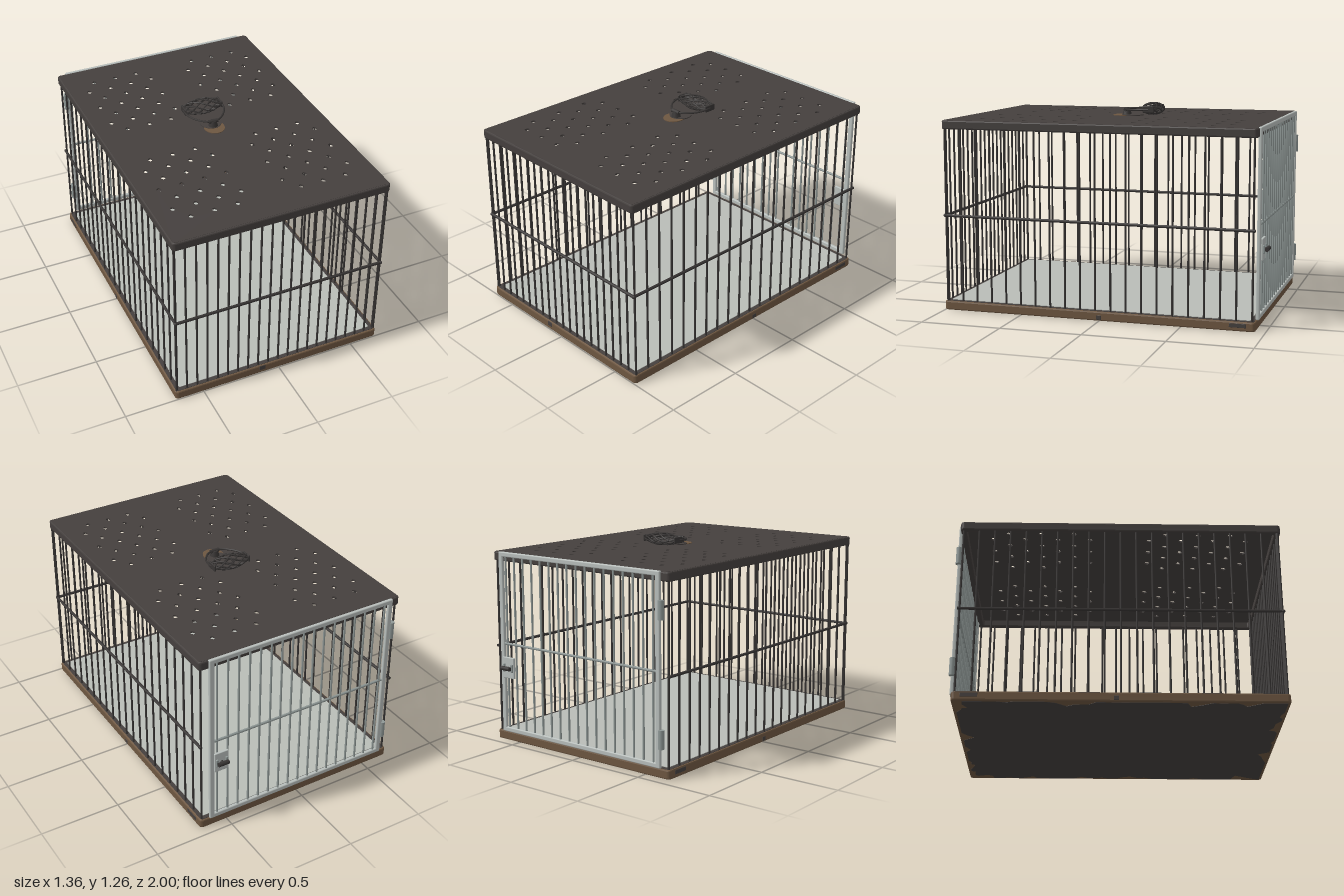
import * as THREE from 'three';
import { RoundedBoxGeometry } from 'three/addons/geometries/RoundedBoxGeometry.js';

const HX = 0.68, HZ = 0.9715, CZ = 0.0285; // footprint half sizes and centre in z

function material(name, color, side = THREE.FrontSide) {
  const m = new THREE.MeshStandardMaterial({ color, side });
  m.name = name;
  return m;
}

// Rounded rectangle outline, usable as shape or hole
function roundedRect(hx, hz, r, Type = THREE.Shape) {
  const s = new Type();
  s.absarc(hx - r, hz - r, r, 0, Math.PI / 2);
  s.absarc(-hx + r, hz - r, r, Math.PI / 2, Math.PI);
  s.absarc(-hx + r, -hz + r, r, Math.PI, Math.PI * 1.5);
  s.absarc(hx - r, -hz + r, r, Math.PI * 1.5, Math.PI * 2);
  s.closePath();
  return s;
}

// Horizontal slab from a shape drawn in (x, -z), standing on y
function slab(shape, y, height, bevel = 0) {
  const g = new THREE.ExtrudeGeometry(shape, {
    depth: height - 2 * bevel, bevelEnabled: bevel > 0, bevelSize: bevel,
    bevelThickness: bevel, bevelOffset: -bevel, bevelSegments: 2, curveSegments: 5,
  });
  return g.rotateX(-Math.PI / 2).translate(0, y + bevel, CZ);
}

export function createModel() {
  const root = new THREE.Group();
  root.name = 'cage';
  const dark = material('dark iron', 0x45403e);
  const iron = material('bar iron', 0x383534);
  const rust = material('rust brown', 0x6e5741);
  const pale = material('pale steel', 0xb9bfbc);
  const grey = material('grey steel', 0x8f9896);
  const floorMat = material('floor grey', 0xb9bdb7);

  const group = (name, parent = root) => {
    const g = new THREE.Group();
    g.name = name;
    parent.add(g);
    return g;
  };
  const add = (parent, name, geometry, mat, x = 0, y = 0, z = 0) => {
    const m = new THREE.Mesh(geometry, mat);
    m.name = name;
    m.position.set(x, y, z);
    parent.add(m);
    return m;
  };
  // Straight round rod between two points
  const rod = (parent, name, a, b, r, mat, sides = 8) => {
    const p = new THREE.Vector3(...a), q = new THREE.Vector3(...b);
    const m = add(parent, name, new THREE.CylinderGeometry(r, r, p.distanceTo(q), sides), mat);
    m.position.copy(p).add(q).multiplyScalar(0.5);
    m.quaternion.setFromUnitVectors(new THREE.Vector3(0, 1, 0), q.sub(p).normalize());
    return m;
  };
  const box = (parent, name, w, h, d, mat, x, y, z, r = 0.004) =>
    add(parent, name, new RoundedBoxGeometry(w, h, d, 2, r), mat, x, y, z);

  // Base: rusty slab, dark top rim, pale floor, dark ragged underside
  const base = group('base');
  add(base, 'baseSlab', slab(roundedRect(HX, HZ, 0.022), 0.002, 0.056, 0.008), rust);
  add(base, 'baseRim', slab(roundedRect(HX - 0.01, HZ - 0.01, 0.015), 0.056, 0.004), dark);
  add(base, 'floor', slab(roundedRect(HX - 0.035, HZ - 0.035, 0.01), 0.059, 0.004), floorMat);
  const ragged = [];
  const corners = [[1, 1], [-1, 1], [-1, -1], [1, -1]];
  corners.forEach(([ax, ay], k) => {
    const [bx, by] = corners[(k + 1) % 4];
    for (let i = 0; i < 40; i++) {
      const t = i / 40, u = k * 40 + i;
      const n = Math.sin(u * 0.37) + Math.sin(u * 0.83 + 1) + 0.6 * Math.sin(u * 1.9 + 2);
      const inset = 0.018 + Math.max(0, n - 0.3) * 0.036;
      ragged.push(new THREE.Vector2(
        THREE.MathUtils.lerp(ax, bx, t) * (HX - inset),
        THREE.MathUtils.lerp(ay, by, t) * (HZ - inset)));
    }
  });
  add(base, 'undersidePaint', slab(new THREE.Shape(ragged), 0, 0.003), dark);
  // Leftover paint spots on the sides
  box(base, 'frontSpot', 0.04, 0.03, 0.004, dark, -0.11, 0.04, CZ + HZ, 0.0015);
  for (const s of [-1, 1]) {
    box(base, 'sideSpot', 0.004, 0.026, 0.03, dark, s * HX, 0.022, 0, 0.0015);
    box(base, 'sidePatch', 0.004, 0.024, 0.1, dark, s * HX, 0.036, -0.84, 0.0015);
  }

  // Roof: hollow rim and thin perforated plate
  const roof = group('roof');
  const rim = roundedRect(HX, HZ, 0.022);
  rim.holes.push(roundedRect(HX - 0.035, HZ - 0.035, 0.01, THREE.Path));
  add(roof, 'roofRim', slab(rim, 1.12, 0.054, 0.008), dark);
  const plate = roundedRect(HX - 0.01, HZ - 0.01, 0.015);
  for (const z0 of [-0.76, 0.207]) {
    for (let row = 0; row < 7; row++) {
      const xs = row % 2 ? [0.132, 0.272, 0.413, 0.555] : [0.2, 0.343, 0.487];
      for (const x of xs) for (const s of [-1, 1]) {
        const hole = new THREE.Path();
        hole.absellipse(s * x, CZ - (z0 + row * 0.1), 0.014, 0.017, 0, Math.PI * 2, true);
        plate.holes.push(hole);
      }
    }
  }
  add(roof, 'roofPlate', slab(plate, 1.165, 0.01), dark);

  // Fixed bars on the front and both sides
  const bars = group('bars');
  for (let i = 0; i <= 20; i++) {
    const x = -0.668 + i * 0.0668, z = 0.977 - i * 0.095;
    rod(bars, 'frontBar', [x, 0.05, 0.982], [x, 1.14, 0.982], 0.0065, iron);
    for (const s of [-1, 1]) {
      rod(bars, 'sideBar', [s * 0.662, 0.05, z], [s * 0.662, 1.14, z], 0.0065, iron);
    }
  }
  rod(bars, 'frontRail', [-0.67, 0.59, 0.988], [0.67, 0.59, 0.988], 0.009, iron);
  for (const s of [-1, 1]) {
    rod(bars, 'sideRail', [s * 0.668, 0.59, -0.935], [s * 0.668, 0.59, 0.99], 0.009, iron);
    add(bars, 'railCorner', new THREE.SphereGeometry(0.011, 10, 8), iron, s * 0.668, 0.59, 0.988);
  }

  // Back door
  const door = group('door');
  const DZ = -0.945;
  for (const s of [-1, 1]) box(door, 'doorStile', 0.032, 1.118, 0.022, pale, s * 0.606, 0.619, DZ, 0.007);
  for (const y of [0.075, 1.163]) box(door, 'doorRail', 1.244, 0.03, 0.022, pale, 0, y, DZ, 0.007);
  for (let i = 0; i < 17; i++) {
    const x = -0.57 + i * 0.07125;
    rod(door, 'doorBar', [x, 0.08, DZ], [x, 1.155, DZ], 0.0065, grey);
  }
  rod(door, 'doorCrossbar', [-0.6, 0.615, DZ], [0.6, 0.615, DZ], 0.008, grey);

  // Hinges
  for (const y of [0.23, 0.963]) {
    rod(door, 'hingeBarrel', [-0.628, y - 0.055, DZ - 0.003], [-0.628, y + 0.055, DZ - 0.003], 0.018, grey, 14);
  }

  // Latch: plate, guides, bolt handle
  const latch = group('latch', door);
  box(latch, 'latchPlate', 0.092, 0.13, 0.016, pale, 0.55, 0.47, -0.958);
  for (const dx of [-0.032, 0.032]) box(latch, 'latchGuide', 0.016, 0.05, 0.012, grey, 0.55 + dx, 0.47, -0.969);
  rod(latch, 'latchPost', [0.55, 0.47, -0.96], [0.55, 0.47, -0.985], 0.009, iron);
  rod(latch, 'latchBolt', [0.516, 0.47, -0.987], [0.584, 0.47, -0.987], 0.013, iron, 14);

  // Carrying handle
  const handle = group('handle');
  const disc = (name, rx, rz, z, y, h, mat) => {
    const m = add(handle, name, new THREE.CylinderGeometry(1, 1, h, 28), mat, 0, y, z);
    m.scale.set(rx, 1, rz);
  };
  disc('handlePlate', 0.064, 0.07, 0.045, 1.177, 0.005, rust);
  disc('handleDisc', 0.066, 0.07, -0.01, 1.179, 0.006, dark);
  add(handle, 'pivotBoss', new THREE.CylinderGeometry(0.02, 0.03, 0.036, 14), iron, 0, 1.198, 0.028);
  rod(handle, 'pivotPin', [-0.03, 1.213, 0.03], [0.03, 1.213, 0.03], 0.012, iron, 12);
  const bail = new THREE.CatmullRomCurve3([
    [-0.124, 1.222, -0.145], [-0.123, 1.22, -0.09], [-0.1, 1.217, -0.035], [-0.05, 1.215, 0.018], [0, 1.214, 0.035],
    [0.05, 1.215, 0.018], [0.1, 1.217, -0.035], [0.123, 1.22, -0.09], [0.124, 1.222, -0.145],
  ].map((p) => new THREE.Vector3(...p)));
  add(handle, 'bail', new THREE.TubeGeometry(bail, 40, 0.006, 7), iron);

  // Woven grip: wires spiralling both ways around a spindle
  for (const dir of [-1, 1]) {
    for (let k = 0; k < 7; k++) {
      const pts = [];
      for (let i = 0; i <= 14; i++) {
        const t = i / 14, swell = Math.sin(t * Math.PI);
        const a = k / 7 * Math.PI * 2 + dir * t * Math.PI;
        pts.push(new THREE.Vector3((t - 0.5) * 0.244,
          1.222 + Math.sin(a) * (0.015 + 0.021 * swell),
          -0.145 + Math.cos(a) * (0.032 + 0.034 * swell)));
      }
      add(handle, 'gripWire', new THREE.TubeGeometry(new THREE.CatmullRomCurve3(pts), 28, 0.0045, 6), iron);
    }
  }
  for (const s of [-1, 1]) box(handle, 'gripEnd', 0.01, 0.04, 0.075, iron, s * 0.121, 1.222, -0.145);

  return root;
}
